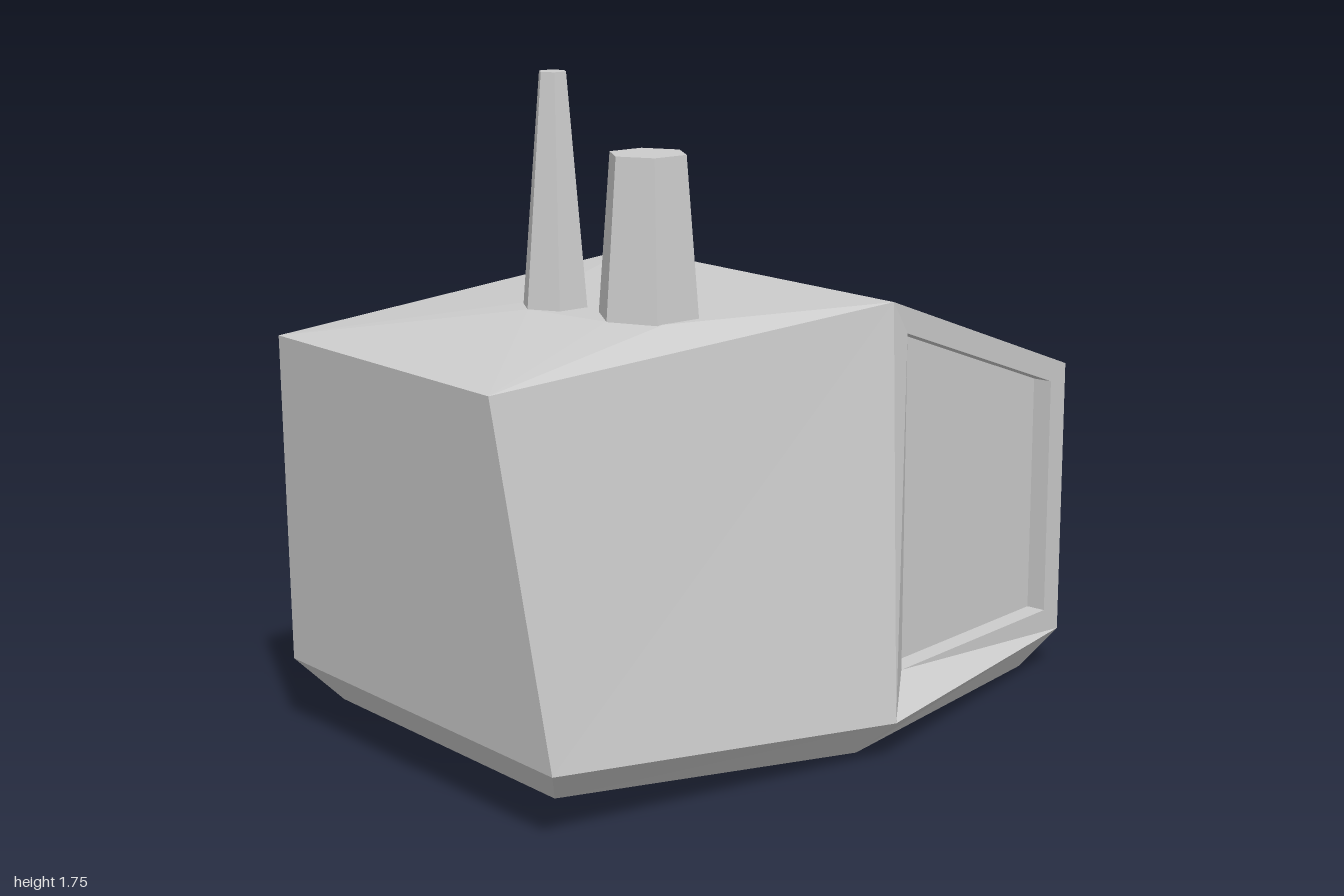
import * as THREE from 'three';

const material = new THREE.MeshStandardMaterial({ color: 0xcccccc, flatShading: true });
const flip = ([x, y, z]) => [-x, y, z];
const mirror = (polys) => polys.map((p) => p.map(flip).reverse());

// Mesh from convex polygons, corners counter-clockwise seen from outside
function polyMesh(name, polys) {
  const pos = [];
  for (const p of polys)
    for (let i = 1; i < p.length - 1; i++) pos.push(...p[0], ...p[i], ...p[i + 1]);
  const geo = new THREE.BufferGeometry();
  geo.setAttribute('position', new THREE.Float32BufferAttribute(pos, 3));
  geo.computeVertexNormals();
  const mesh = new THREE.Mesh(geo, material);
  mesh.name = name;
  return mesh;
}

// Recess walls and floor behind a four-cornered opening
function recess(inner, depth = 0.055) {
  const [a, b, , d] = inner.map((p) => new THREE.Vector3(...p));
  const n = b.clone().sub(a).cross(d.clone().sub(a)).normalize().multiplyScalar(-depth);
  const floor = inner.map(([x, y, z]) => [x + n.x, y + n.y, z + n.z]);
  const walls = inner.map((p, i) => {
    const j = (i + 1) % 4;
    return [p, inner[j], floor[j], floor[i]];
  });
  return [...walls, floor];
}

// Flat border between an outer and an inner quad
const frame = (outer, inner) => outer.map((p, i) => {
  const j = (i + 1) % 4;
  return [p, outer[j], inner[j], inner[i]];
});

export function createModel() {
  const group = new THREE.Group();
  group.name = 'cabin';

  // Left-half corners of the front, middle and back sections
  const fTop = [0.45, 1.09, 1], fLow = [0.565, 0.19, 0.92], fBot = [0.46, 0.085, 0.835];
  const mTop = [0.53, 1.17, -0.2], mLow = [0.665, 0.11, -0.1], mBot = [0.54, 0, -0.08];
  const bTop = [0.4, 0.88, -1], bLow = [0.4, 0.11, -1], bBot = [0.34, 0, -0.91];
  const span = (a, b) => [flip(a), a, b, flip(b)];

  // Front wall and underside
  group.add(polyMesh('frontWall', [span(fLow, fTop), span(fBot, fLow)]));
  group.add(polyMesh('underside', [span(mBot, fBot), span(bBot, mBot), span(bLow, bBot)]));

  // Side walls with lower bevel
  const side = [
    [fLow, mLow, mTop], [fLow, mTop, fTop],
    [fBot, mBot, mLow, fLow], [mBot, bBot, bLow, mLow],
  ];
  group.add(polyMesh('leftWall', side), polyMesh('rightWall', mirror(side)));

  // Side windows: upright frame, sloping ledge and recessed pane
  const sideX = (z) => 0.4 + 0.1625 * (z + 1);
  const [p1, p2, p3, p4] = [[1.08, -0.26], [0.18, -0.26], [0.18, -0.93], [0.84, -0.93]]
    .map(([y, z]) => [sideX(z), y, z]);
  const sideWindow = [
    [p3, bLow, bTop, p4], [p4, bTop, mTop, p1], [p2, bLow, p3],
    [mLow, p2, p1, mTop], [mLow, bLow, p2],
    ...recess([p2, p3, p4, p1]),
  ];
  group.add(polyMesh('leftWindow', sideWindow), polyMesh('rightWindow', mirror(sideWindow)));

  // Sloping roof window
  const roofY = (z) => 0.88 + 0.3625 * (z + 1);
  const roofHole = span([0.457, roofY(-0.27), -0.27], [0.345, roofY(-0.94), -0.94]);
  group.add(polyMesh('roofWindow', [...frame(span(mTop, bTop), roofHole), ...recess(roofHole)]));

  // Back window
  const backOuter = [bLow, flip(bLow), flip(bTop), bTop];
  const w = 0.335;
  const backHole = [[w, 0.17, -1], [-w, 0.17, -1], [-w, 0.815, -1], [w, 0.815, -1]];
  group.add(polyMesh('backWindow', [...frame(backOuter, backHole), ...recess(backHole)]));

  // Roof: level area around the chimneys, falling away to the front edge
  const [c1, c2, c3, c4] = [[-0.07, 0.5], [0.01, 0.56], [0.26, 0.51], [0.38, 0.43]]
    .map(([x, z]) => [x, 1.17, z]);
  const fL = flip(fTop), mL = flip(mTop);
  group.add(polyMesh('roof', [
    [mL, c1, c2, c3, c4, mTop],
    [fL, c1, mL], [fL, c2, c1], [fL, fTop, c2],
    [fTop, c3, c2], [fTop, c4, c3], [fTop, mTop, c4],
  ]));

  // Six-sided tapered chimneys
  const chimney = (name, x, z, rTop, rBase, top) => {
    const base = 1.165;
    const mesh = new THREE.Mesh(
      new THREE.CylinderGeometry(rTop, rBase, top - base, 6), material);
    mesh.position.set(x, (top + base) / 2, z);
    mesh.name = name;
    group.add(mesh);
  };
  chimney('slimChimney', 0.01, 0.475, 0.036, 0.087, 1.755);
  chimney('wideChimney', 0.263, 0.38, 0.1, 0.132, 1.57);

  return group;
}
